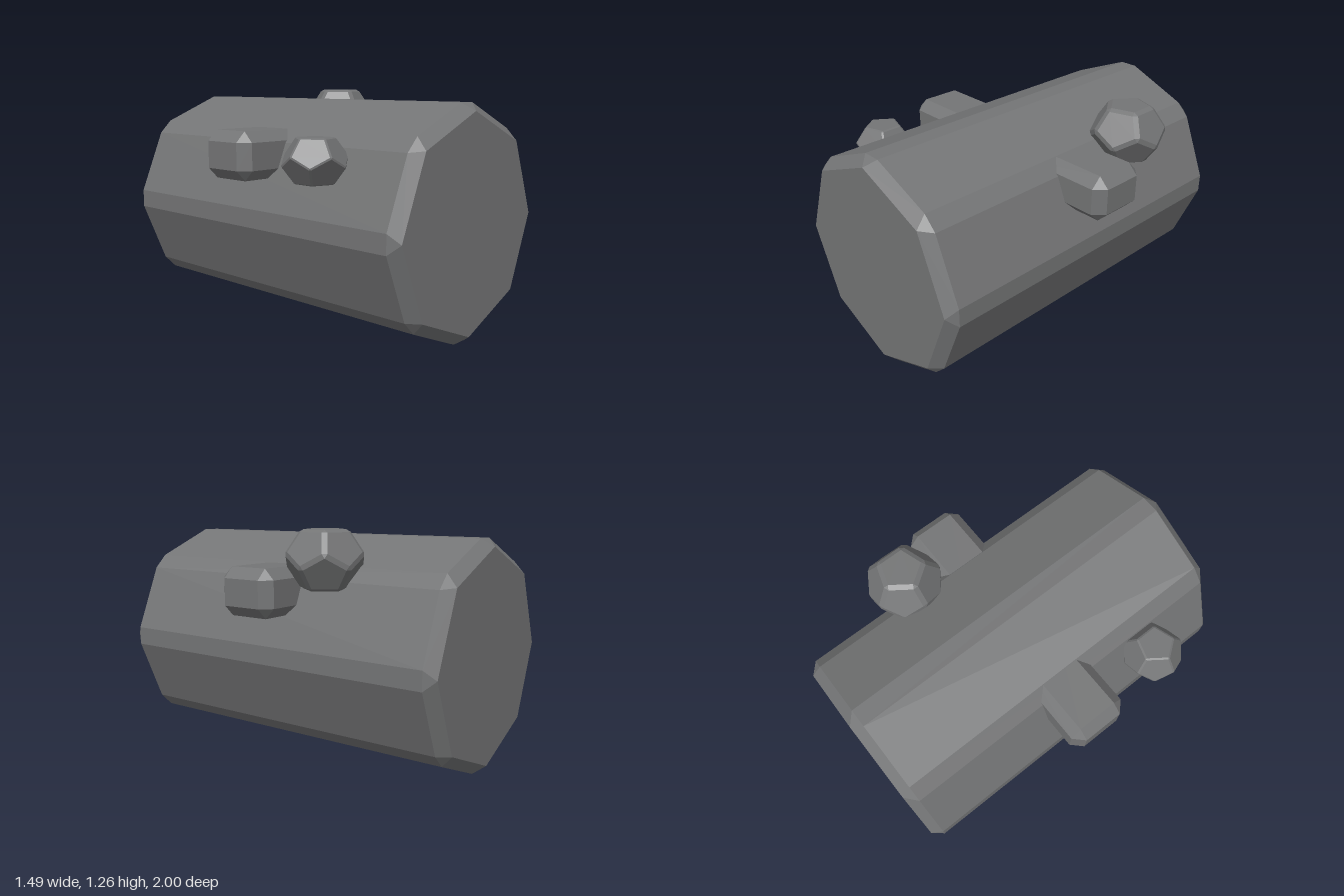
import * as THREE from 'three';
import { ConvexGeometry } from 'three/addons/geometries/ConvexGeometry.js';

const V = (x, y, z) => new THREE.Vector3(x, y, z);

// Log: 16-sided bevelled prism closed by smaller octagonal ends
function logGeometry() {
  const points = [];
  const bevel = THREE.MathUtils.degToRad(4.7);
  for (const side of [-1, 1]) {
    for (let i = 0; i < 8; i++) {
      const a = i * Math.PI / 4;
      points.push(V(Math.sin(a) * 0.565, Math.cos(a) * 0.565, side));
      for (const d of [-bevel, bevel]) {
        points.push(V(Math.sin(a + d) * 0.607, Math.cos(a + d) * 0.607, side * 0.945));
      }
    }
  }
  return new ConvexGeometry(points);
}

// Box with every edge chamfered by b (half sizes given)
function chamferedBox(hx, hy, hz, b) {
  const points = [];
  for (const x of [-1, 1]) for (const y of [-1, 1]) for (const z of [-1, 1]) {
    points.push(
      V(x * hx, y * (hy - b), z * (hz - b)),
      V(x * (hx - b), y * hy, z * (hz - b)),
      V(x * (hx - b), y * (hy - b), z * hz));
  }
  return new ConvexGeometry(points);
}

// Dodecahedron with chamfered edges: each pentagon is shrunk in its own plane
function chamferedDodecahedron(radius, shrink) {
  const points = [];
  const apothem = radius * 0.795, faceRadius = radius * 0.607 * shrink;
  const elevation = Math.atan(0.5);
  const addFace = (azimuth, elev) => {
    const out = V(Math.cos(azimuth), 0, Math.sin(azimuth));
    const normal = out.clone().multiplyScalar(Math.cos(elev)).setY(Math.sin(elev));
    const down = out.clone().multiplyScalar(Math.sin(elev)).setY(-Math.cos(elev));
    const across = V(-Math.sin(azimuth), 0, Math.cos(azimuth));
    for (let i = 0; i < 5; i++) {
      const a = i * Math.PI * 0.4;
      const p = normal.clone().multiplyScalar(apothem)
        .addScaledVector(down, Math.cos(a) * faceRadius)
        .addScaledVector(across, Math.sin(a) * faceRadius);
      points.push(p, p.clone().negate());
    }
  };
  addFace(Math.PI, Math.PI / 2);
  for (let k = 0; k < 5; k++) addFace(k * Math.PI * 0.4, elevation);
  return new ConvexGeometry(points);
}

export function createModel() {
  const group = new THREE.Group();
  const grey = new THREE.MeshStandardMaterial({ color: 0x747576 });
  grey.name = 'stone grey';

  const add = (name, geometry, x, y, z) => {
    const mesh = new THREE.Mesh(geometry, grey);
    mesh.name = name;
    mesh.position.set(x, y, z);
    group.add(mesh);
    return mesh;
  };

  add('log', logGeometry(), 0, 0.605, 0);

  // Square branch stubs on both sides
  const stub = chamferedBox(0.2725, 0.125, 0.165, 0.055);
  add('leftStub', stub, 0.4725, 0.94, 0);
  add('rightStub', stub, -0.4725, 0.94, 0);

  // Rounded knobs, slightly flattened
  add('largeKnob', chamferedDodecahedron(0.212, 0.84), 0.495, 1.108, -0.33).scale.y = 0.88;
  add('smallKnob', chamferedDodecahedron(0.167, 0.92), -0.587, 0.94, 0.495).scale.y = 0.83;

  return group;
}
